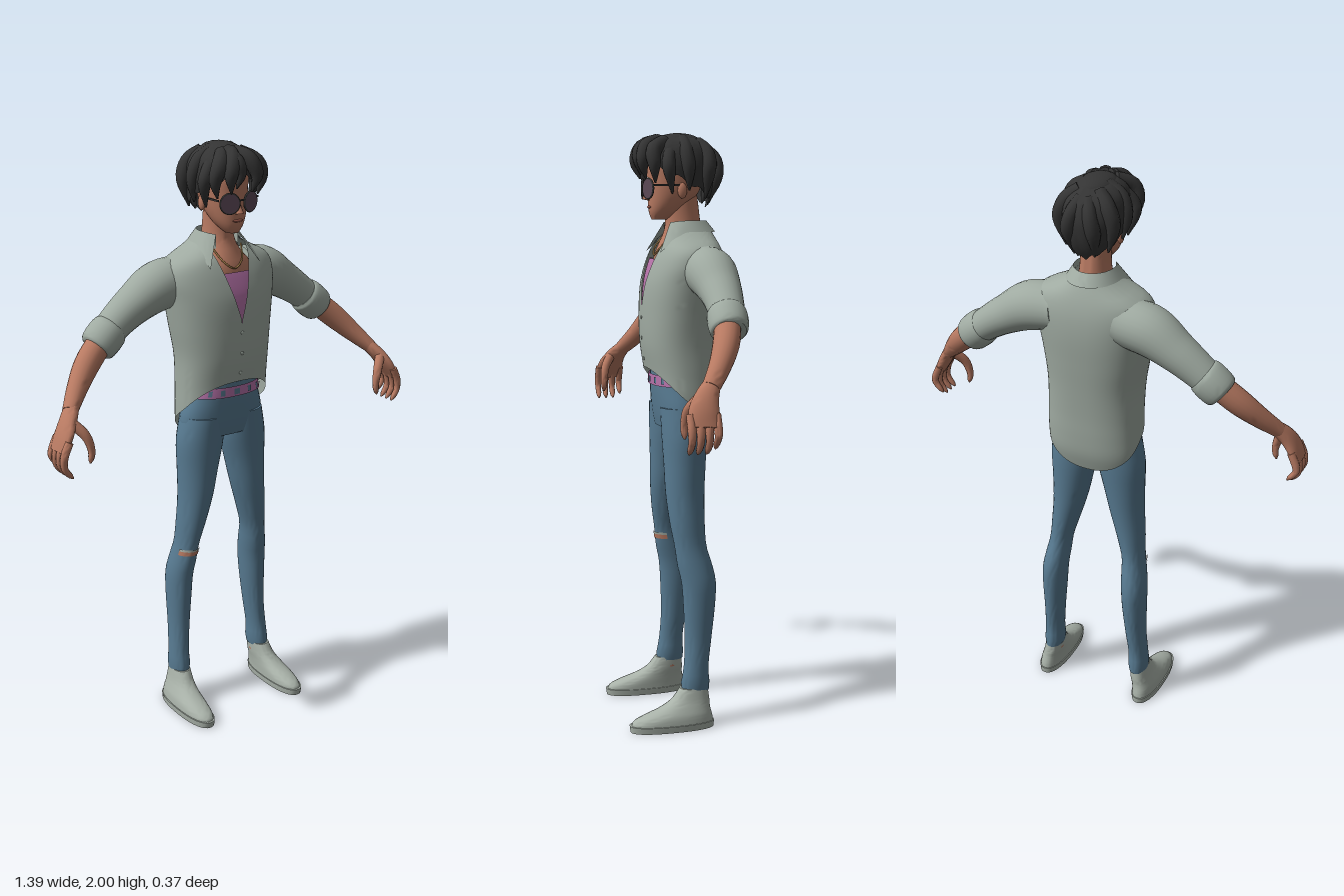
import * as THREE from 'three';
import { mergeVertices, toCreasedNormals } from 'three/addons/utils/BufferGeometryUtils.js';

const flat = (name, color, side = THREE.FrontSide) => {
  const m = new THREE.MeshStandardMaterial({ color, side });
  m.name = name;
  return m;
};

// Smooth interpolation of table rows keyed by their first column
function sample(rows, k) {
  const n = rows.length - 1;
  k = Math.min(Math.max(k, rows[0][0]), rows[n][0]);
  let i = 0;
  while (i < n - 1 && k > rows[i + 1][0]) i++;
  const a = rows[i], b = rows[i + 1], p = rows[Math.max(i - 1, 0)], q = rows[Math.min(i + 2, n)];
  const h = b[0] - a[0], t = (k - a[0]) / h, t2 = t * t, t3 = t2 * t;
  return a.map((v, c) => {
    const m0 = (b[c] - p[c]) / (b[0] - p[0]) * h, m1 = (q[c] - v) / (q[0] - a[0]) * h;
    return (2 * t3 - 3 * t2 + 1) * v + (t3 - 2 * t2 + t) * m0 + (3 * t2 - 2 * t3) * b[c] + (t3 - t2) * m1;
  });
}

// Surface from a rule f(u, v) -> [x, y, z]
function grid(nu, nv, f, crease = 0.9) {
  const pos = [], idx = [];
  for (let j = 0; j <= nv; j++) for (let i = 0; i <= nu; i++) pos.push(...f(i / nu, j / nv, j));
  for (let j = 0; j < nv; j++) for (let i = 0; i < nu; i++) {
    const a = j * (nu + 1) + i, d = a + nu + 1;
    idx.push(a, a + 1, d + 1, a, d + 1, d);
  }
  const g = new THREE.BufferGeometry();
  g.setAttribute('position', new THREE.Float32BufferAttribute(pos, 3));
  g.setIndex(idx);
  return toCreasedNormals(mergeVertices(g, 1e-5), crease);
}

// Stack of horizontal sections; rows are [y, centreX, halfWidth, frontZ, backZ], angle 0 faces +z
function loft(rows, o = {}) {
  const { nu = 32, nv = 24, p = 1, a0 = 0, a1 = Math.PI * 2, cap = true, gap, grow = 0, s = 1, lump } = o;
  const hi = o.hi ?? rows[rows.length - 1][0];
  const pw = v => Math.sign(v) * Math.abs(v) ** p;
  return grid(nu, nv, (u, v, j) => {
    let a = a0 + (a1 - a0) * u;
    const lo = typeof o.lo === 'function' ? o.lo(a) : o.lo ?? rows[0][0];
    const w = cap ? Math.min(Math.max((j - 1) / (nv - 2), 0), 1) : v;
    const y = lo + (hi - lo) * w;
    const [, cx, rx, zf, zb] = sample(rows, y);
    if (gap) {
      const g = Math.asin(Math.min(gap(y) / rx, 0.9) ** (1 / p));
      a = g + (Math.PI * 2 - 2 * g) * u;
    }
    const k = cap && (j === 0 || j === nv) ? 0 : 1 + (lump ? lump(a, y) : 0);
    return [cx * s + (rx + grow) * k * pw(Math.sin(a)), y, (zf + zb) / 2 + ((zf - zb) / 2 + grow) * k * pw(Math.cos(a))];
  });
}

// Tapered limb through points [x, y, z, inPlaneRadius, depthRadius]; s mirrors it
function limb(pts, s = 1, nu = 16, nv = 20, round = false) {
  const rows = pts.map((q, i) => [i, q[0] * s, q[1], q[2], q[3], q[4] ?? q[3]]);
  const n = rows.length - 1, Z = new THREE.Vector3(0, 0, 1);
  return grid(nu, nv, (u, v, j) => {
    const w = Math.min(Math.max((j - 1) / (nv - 2), 0), 1), t = w * n;
    const P = k => new THREE.Vector3(...sample(rows, k).slice(1, 4));
    const T = P(Math.min(t + 0.02, n)).sub(P(Math.max(t - 0.02, 0))).normalize();
    const e1 = T.clone().cross(Z).normalize(), e2 = T.clone().cross(e1);
    let k = j === 0 || j === nv ? 0 : 1;
    if (round) k *= Math.sqrt(Math.max(0, 1 - Math.max(0, (w - 0.8) / 0.21) ** 2));
    const [, , , , r1, r2] = sample(rows, t), a = u * Math.PI * 2;
    return P(t).addScaledVector(e1, r1 * k * Math.cos(a)).addScaledVector(e2, r2 * k * Math.sin(a)).toArray();
  });
}

export function createModel() {
  const model = new THREE.Group();
  const D = THREE.DoubleSide;
  const skin = flat('skin', 0xb87a62), hair = flat('black hair', 0x343434, D), cloth = flat('sage shirt', 0x9faaa1, D);
  const denim = flat('blue denim', 0x587b92, D), pink = flat('pink fabric', 0xb572a8, D), lensMat = flat('plum lens', 0x5c4856);
  const gold = flat('gold', 0xb98f55), lip = flat('lips', 0x935548), canvas = flat('pale canvas', 0xa9b2a9);
  const add = (name, geo, mat, x = 0, y = 0, z = 0) => {
    const m = new THREE.Mesh(geo, mat);
    m.name = name;
    m.position.set(x, y, z);
    model.add(m);
    return m;
  };
  const ball = (sx, sy, sz) => new THREE.SphereGeometry(1, 18, 12).scale(sx, sy, sz);

  // Trousers and belt
  const leg = [[0.125, 0.174, 0.032, -0.004, -0.1], [0.15, 0.173, 0.036, -0.003, -0.102], [0.2, 0.172, 0.034, -0.012, -0.098],
    [0.3, 0.165, 0.036, -0.018, -0.11], [0.42, 0.16, 0.042, -0.014, -0.124], [0.5, 0.157, 0.044, -0.008, -0.127],
    [0.56, 0.15, 0.042, 0.005, -0.115], [0.62, 0.142, 0.039, 0.012, -0.098], [0.7, 0.128, 0.048, 0.025, -0.095],
    [0.8, 0.11, 0.06, 0.035, -0.098], [0.9, 0.098, 0.072, 0.038, -0.105], [1.0, 0.087, 0.084, 0.042, -0.112],
    [1.09, 0.078, 0.076, 0.045, -0.112]];
  const hips = [[1.02, 0, 0.145, 0.038, -0.108], [1.06, 0, 0.158, 0.045, -0.116], [1.1, 0, 0.154, 0.05, -0.117],
    [1.16, 0, 0.135, 0.055, -0.112], [1.21, 0, 0.122, 0.055, -0.105]];
  add('trouserHips', loft(hips, { p: 0.9 }), denim);
  add('belt', loft(hips, { lo: 1.162, hi: 1.198, grow: 0.006, nv: 4, p: 0.9, cap: false }), pink);
  for (let i = -3; i <= 3; i++)
    add('beltPatch', loft(hips, { lo: 1.17, hi: 1.19, grow: 0.009, nv: 2, nu: 3, p: 0.9, cap: false, a0: i * 0.36 - 0.06, a1: i * 0.36 + 0.06 }), denim);
  add('kneeTear', loft(leg, { lo: 0.588, hi: 0.61, s: -1, grow: 0.003, nv: 3, nu: 12, cap: false, a0: -1.2, a1: 1.2 }), skin);
  add('kneeFray', loft(leg, { lo: 0.604, hi: 0.612, s: -1, grow: 0.005, nv: 2, nu: 12, cap: false, a0: -1.2, a1: 1.2 }), canvas);

  // Shoes
  const shoe = [[0.015, 0.193, 0.046, 0.178, -0.11], [0.035, 0.192, 0.045, 0.168, -0.108], [0.052, 0.19, 0.043, 0.13, -0.104],
    [0.07, 0.186, 0.039, 0.08, -0.1], [0.095, 0.18, 0.035, 0.035, -0.099], [0.135, 0.175, 0.031, 0.002, -0.094]];
  const sole = [[0, 0.193, 0.047, 0.18, -0.111], [0.022, 0.193, 0.049, 0.183, -0.113]];

  // Shirt body: open V at the front, long curved tail at the back
  const torso = [[0.98, 0, 0.15, 0.05, -0.125], [1.05, 0.002, 0.163, 0.055, -0.145], [1.12, 0.004, 0.166, 0.068, -0.152],
    [1.2, 0.004, 0.164, 0.075, -0.156], [1.3, 0.003, 0.165, 0.09, -0.164], [1.4, 0, 0.178, 0.092, -0.174],
    [1.5, 0, 0.193, 0.085, -0.182], [1.57, 0, 0.203, 0.066, -0.18], [1.62, 0, 0.185, 0.045, -0.17],
    [1.66, 0, 0.11, 0.025, -0.155], [1.69, 0, 0.064, 0.01, -0.14]];
  add('shirtBody', loft(torso, { p: 0.85, nu: 56, nv: 40, cap: false, lo: a => 1.105 + 0.115 * Math.cos(a), gap: y => Math.max(0, y - 1.43) * 0.31 }), cloth);
  add('undershirt', loft(torso, { p: 0.85, lo: 1.36, hi: 1.585, grow: -0.01, a0: -0.9, a1: 0.9, cap: false }), pink);
  for (const y of [1.25, 1.32, 1.39])
    add('shirtButton', ball(0.006, 0.006, 0.003), cloth, 0, y, sample(torso, y)[3]);

  // Folded collar with points at the front
  add('collar', grid(40, 8, (u, v) => {
    const a = 0.72 + (Math.PI * 2 - 1.44) * u, k = Math.max(0, Math.cos(a)) ** 2;
    const w = Math.max(0, (v - 0.5) * 2), up = Math.min(1, v * 2);
    const y = v <= 0.5 ? 1.665 + 0.047 * up - 0.01 * k : 1.712 - 0.01 * k - w * (0.037 + 0.11 * k);
    return [0.066 * Math.sin(a) * (1 + w * (0.35 + 1.6 * k)), y, -0.055 + 0.077 * Math.cos(a) * (1 + w * (0.4 + 0.8 * k))];
  }, 0.6), cloth);

  // Neck, chest and necklace
  add('neckAndChest', loft([[1.54, 0, 0.13, 0.052, -0.12], [1.6, 0, 0.11, 0.043, -0.12], [1.64, 0, 0.075, 0.028, -0.12],
    [1.68, 0, 0.054, 0.012, -0.115], [1.72, 0, 0.048, 0.008, -0.11], [1.8, 0, 0.047, 0.01, -0.1]]), skin);
  const chain = [[-0.058, 1.665, 0], [-0.035, 1.62, 0.038], [0, 1.598, 0.048], [0.035, 1.62, 0.038], [0.058, 1.665, 0]];
  add('necklace', new THREE.TubeGeometry(new THREE.CatmullRomCurve3(chain.map(q => new THREE.Vector3(...q))), 30, 0.003, 6), gold);

  // Head and face
  add('head', loft([[1.715, 0, 0.022, 0.054, 0.005], [1.735, 0, 0.04, 0.063, -0.03], [1.76, 0, 0.055, 0.066, -0.06],
    [1.8, 0, 0.069, 0.067, -0.1], [1.85, 0, 0.076, 0.068, -0.12], [1.9, 0, 0.077, 0.068, -0.13], [1.96, 0, 0.055, 0.045, -0.1]], { p: 0.92 }), skin);
  const nose = add('nose', new THREE.ConeGeometry(0.014, 0.05, 10), skin, 0, 1.805, 0.07);
  nose.rotation.x = -0.2;
  add('mouth', ball(0.02, 0.005, 0.006), lip, 0, 1.757, 0.064);

  // Hair: cap with an uneven edge, then overlapping locks
  const cap = [[1.76, 0, 0.055, 0, -0.135], [1.8, 0, 0.085, 0.03, -0.156], [1.85, 0, 0.098, 0.07, -0.17], [1.9, 0, 0.104, 0.085, -0.172],
    [1.95, 0, 0.092, 0.075, -0.152], [1.98, 0, 0.062, 0.04, -0.11], [1.995, 0, 0.02, -0.01, -0.06]];
  add('hairCap', loft(cap, { nu: 60, cap: false, lo: a => 1.832 + 0.068 * Math.cos(a) + 0.008 * Math.sin(11 * a),
    lump: (a, y) => 0.025 * Math.sin(9 * a + 25 * y) }), hair);
  add('hairCrown', ball(0.06, 0.03, 0.08), hair, 0, 1.97, -0.035);
  const locks = [
    [[0.008, 1.975, 0.03, 0.022], [0.03, 1.955, 0.08, 0.026], [0.05, 1.905, 0.098, 0.021], [0.04, 1.85, 0.085, 0.003]],
    [[0.03, 1.97, 0.02, 0.024], [0.07, 1.94, 0.065, 0.027], [0.09, 1.89, 0.068, 0.02], [0.078, 1.835, 0.062, 0.003]],
    [[0.05, 1.95, 0, 0.024], [0.09, 1.91, 0.02, 0.022], [0.1, 1.87, 0.02, 0.02], [0.083, 1.8, 0.005, 0.003]],
    [[0.03, 1.975, -0.04, 0.024], [0.08, 1.94, -0.04, 0.026], [0.1, 1.88, -0.045, 0.022], [0.092, 1.81, -0.05, 0.003]],
    [[0.03, 1.965, -0.09, 0.025], [0.07, 1.93, -0.115, 0.027], [0.09, 1.87, -0.115, 0.024], [0.072, 1.785, -0.11, 0.003]],
    [[0.01, 1.95, -0.12, 0.025], [0.03, 1.91, -0.155, 0.024], [0.042, 1.85, -0.152, 0.024], [0.035, 1.77, -0.128, 0.003]]];
  add('centreForelock', limb([[-0.02, 1.98, 0.03, 0.02], [-0.02, 1.95, 0.09, 0.022], [-0.012, 1.91, 0.1, 0.016], [-0.022, 1.865, 0.088, 0.003]], 1, 10, 14), hair);

  for (const s of [1, -1]) {
    const side = s > 0 ? 'left' : 'right';
    add(side + 'TrouserLeg', loft(leg, { s, nv: 36 }), denim);
    add(side + 'Ankle', loft([[0.1, 0.174, 0.029, -0.005, -0.09], [0.18, 0.174, 0.029, -0.015, -0.09]], { s, nv: 6 }), skin);
    add(side + 'Shoe', loft(shoe, { s, p: 0.85 }), canvas);
    add(side + 'ShoeSole', loft(sole, { s, p: 0.85, nv: 5 }), canvas);
    // Arm: sleeve, rolled cuff, forearm
    add(side + 'Sleeve', limb([[0.11, 1.555, -0.09, 0.078, 0.082], [0.21, 1.54, -0.092, 0.082, 0.084],
      [0.3, 1.492, -0.095, 0.066, 0.07], [0.37, 1.445, -0.092, 0.057, 0.06], [0.42, 1.405, -0.086, 0.052, 0.056]], s, 24, 24), cloth);
    add(side + 'RolledCuff', limb([[0.39, 1.43, -0.088, 0.054, 0.058], [0.4, 1.422, -0.087, 0.061, 0.064],
      [0.425, 1.4, -0.084, 0.063, 0.065], [0.448, 1.38, -0.08, 0.06, 0.061], [0.456, 1.373, -0.079, 0.052, 0.054]], s, 24, 12), cloth);
    add(side + 'Forearm', limb([[0.42, 1.41, -0.085, 0.042, 0.042], [0.5, 1.34, -0.055, 0.042, 0.042],
      [0.56, 1.28, -0.018, 0.034, 0.035], [0.615, 1.222, 0.027, 0.023, 0.028]], s, 18, 16), skin);
    // Hand with curled fingers
    add(side + 'Palm', limb([[0.605, 1.232, 0.02, 0.022, 0.027], [0.635, 1.195, 0.045, 0.022, 0.038],
      [0.66, 1.155, 0.06, 0.019, 0.048], [0.682, 1.112, 0.063, 0.012, 0.046]], s, 18, 14), skin);
    for (let k = 0; k < 4; k++) {
      const z = 0.022 + k * 0.027, d = k === 0 ? 0.015 : 0;
      add(side + 'Finger', limb([[0.662, 1.15, z, 0.013], [0.682, 1.105, z, 0.013], [0.682, 1.065 + d, z, 0.011],
        [0.655, 1.03 + d, z + 0.002, 0.009]], s, 10, 14, true), skin);
    }
    add(side + 'Thumb', limb([[0.63, 1.195, 0.065, 0.018], [0.598, 1.155, 0.092, 0.016], [0.584, 1.105, 0.1, 0.012],
      [0.59, 1.065, 0.1, 0.009]], s, 10, 14, true), skin);
    add(side + 'Ear', ball(0.01, 0.026, 0.016), skin, s * 0.076, 1.81, -0.03);
    for (const l of locks) add(side + 'HairLock', limb(l, s, 10, 14), hair);
    // Sunglasses
    const lens = add(side + 'Lens', new THREE.CylinderGeometry(0.032, 0.032, 0.006, 28).rotateX(Math.PI / 2), lensMat, s * 0.04, 1.817, 0.077);
    const rim = add(side + 'GlassesRim', new THREE.TorusGeometry(0.032, 0.0035, 8, 32), hair, s * 0.04, 1.817, 0.077);
    lens.rotation.y = rim.rotation.y = s * 0.3;
    add(side + 'GlassesArm', new THREE.BoxGeometry(0.004, 0.006, 0.1), hair, s * 0.077, 1.828, 0.017);
  }
  add('glassesBridge', new THREE.BoxGeometry(0.022, 0.005, 0.005), hair, 0, 1.826, 0.085);
  return model;
}
